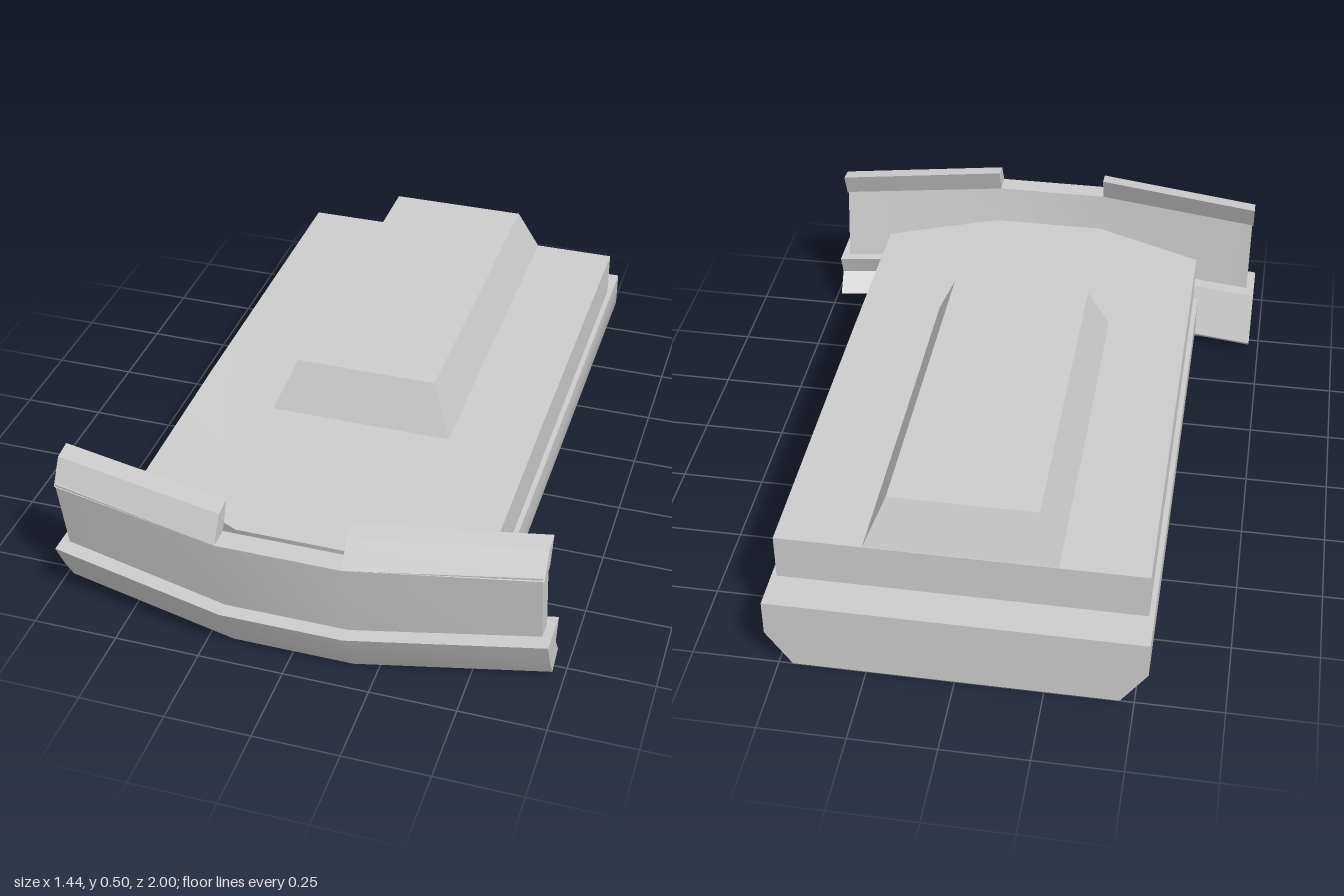
import * as THREE from 'three';
import { toCreasedNormals } from 'three/addons/utils/BufferGeometryUtils.js';

const material = new THREE.MeshStandardMaterial({ color: 0xcccccc });

// Skin through rings of [u, v, w] (counter-clockwise in u, v; rising in w), capped at both ends.
function loft(name, rings, toXYZ) {
  const pos = [];
  const n = rings[0].length;
  const put = (...pts) => pts.forEach((p) => pos.push(...toXYZ(p)));
  for (let i = 0; i < rings.length - 1; i++) {
    for (let j = 0; j < n; j++) {
      const k = (j + 1) % n;
      const a = rings[i][j], b = rings[i][k], c = rings[i + 1][k], d = rings[i + 1][j];
      put(a, b, c, a, c, d);
    }
  }
  const cap = (ring, flip) => {
    const flat = ring.map(([u, v]) => new THREE.Vector2(u, v));
    for (const [a, b, c] of THREE.ShapeUtils.triangulateShape(flat, [])) {
      if (flip) put(ring[a], ring[c], ring[b]);
      else put(ring[a], ring[b], ring[c]);
    }
  };
  cap(rings[0], true);
  cap(rings[rings.length - 1], false);
  const geo = new THREE.BufferGeometry();
  geo.setAttribute('position', new THREE.Float32BufferAttribute(pos, 3));
  const mesh = new THREE.Mesh(toCreasedNormals(geo, 0.7), material);
  mesh.name = name;
  return mesh;
}

// Stacked plan outlines: each half outline is a list of [z, x, y], back to front.
const stack = (name, halves) => loft(
  name,
  halves.map((h) => [...h.map(([z, x, y]) => [z, -x, y]), ...[...h].reverse()]),
  ([u, v, w]) => [v, w, u],
);

// Side profiles of [z, y] placed at stations {x, pts, dz, dy} across the width.
const span = (name, stations) => loft(
  name,
  stations.map(({ x, pts, dz = 0, dy = 0 }) => pts.map(([z, y]) => [-(z + dz), y + dy, x])),
  ([u, v, w]) => [w, v, -u],
);

export function createModel() {
  const group = new THREE.Group();

  // Lower hull with chamfered belly and tapered nose
  group.add(stack('lowerHull', [
    [[-1, 0.46, 0], [0.6, 0.46, 0], [0.75, 0.18, 0.005]],
    [[-1, 0.535, 0.11], [0.625, 0.535, 0.11], [0.785, 0.18, 0.11]],
    [[-1, 0.535, 0.22], [0.655, 0.535, 0.215], [0.81, 0.18, 0.21]],
  ]));

  // Upper hull, its deck dropping slightly toward the nose
  group.add(stack('upperHull', [
    [[-0.885, 0.52, 0.2], [0.15, 0.52, 0.2], [0.65, 0.52, 0.2], [0.805, 0.18, 0.2]],
    [[-0.885, 0.52, 0.36], [0.15, 0.52, 0.36], [0.69, 0.52, 0.35], [0.84, 0.18, 0.345]],
  ]));

  // Raised roof block with sloping sides
  group.add(stack('roofBlock', [
    [[-0.885, 0.273, 0.355], [0.278, 0.273, 0.355]],
    [[-0.83, 0.21, 0.503], [0.218, 0.21, 0.503]],
  ]));

  // Upper blade: centre panel and two swept wings
  const plate = [[1, 0.415], [0.955, 0.17], [0.9, 0.17], [0.935, 0.415]];
  const sweep = { dz: -0.11, dy: 0.01 };
  group.add(span('upperBlade', [
    { x: -0.693, pts: plate, ...sweep },
    { x: -0.178, pts: plate },
    { x: 0.178, pts: plate },
    { x: 0.693, pts: plate, ...sweep },
  ]));

  // Lips folded back along the top of each wing
  const lip = [[0.955, 0.488], [1, 0.415], [0.935, 0.415], [0.9, 0.496]];
  for (const side of [-1, 1]) {
    const ends = [{ x: side * 0.178, pts: lip }, { x: side * 0.697, pts: lip, dz: -0.11 }];
    group.add(span(side > 0 ? 'leftLip' : 'rightLip', side > 0 ? ends : ends.reverse()));
  }

  // Lower blade: hooked section on the left, wide rear flange on the right
  const front = [[1, 0.17], [0.955, 0.08], [0.91, 0.005]];
  const hook = [...front, [0.845, 0.035], [0.89, 0.1], [0.865, 0.168]];
  const flange = [...front, [0.8, 0.005], [0.78, 0.025], [0.855, 0.17]];
  const rise = { dz: -0.11, dy: 0.018 };
  group.add(span('lowerBlade', [
    { x: -0.718, pts: flange, ...rise },
    { x: -0.178, pts: flange },
    { x: 0.178, pts: hook },
    { x: 0.718, pts: hook, ...rise },
  ]));

  return group;
}
